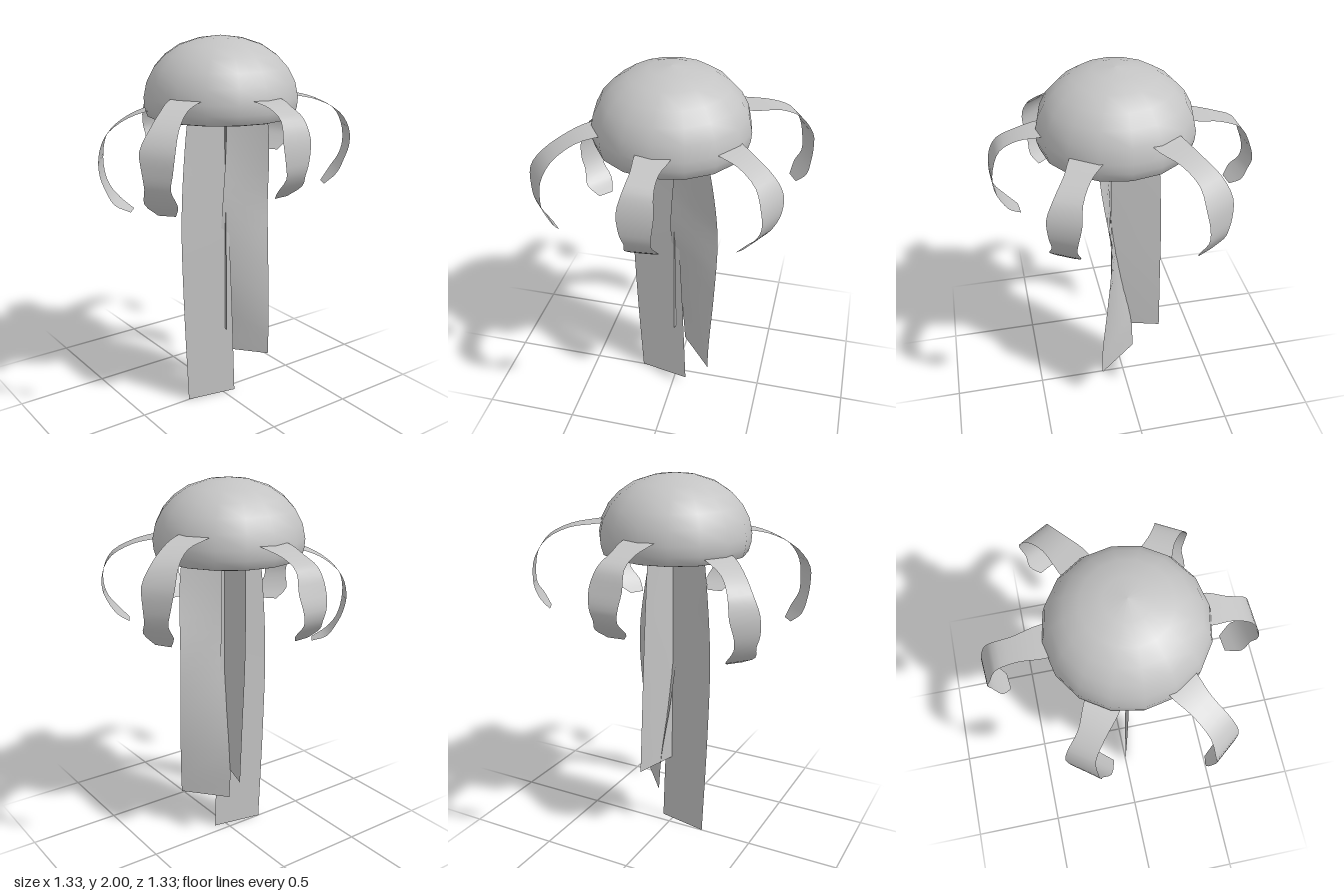
import * as THREE from 'three';

const skin = new THREE.MeshStandardMaterial({ color: 0xc4c4c4, side: THREE.DoubleSide });
skin.name = 'pale grey';

const vec = (p) => new THREE.Vector3(...p);

// Smooth ruled strip between two edge curves
function ribbon(name, edgeA, edgeB, steps) {
  const a = new THREE.CatmullRomCurve3(edgeA);
  const b = new THREE.CatmullRomCurve3(edgeB);
  const across = 2, pos = [], idx = [];
  for (let i = 0; i <= steps; i++) {
    const p = a.getPoint(i / steps), q = b.getPoint(i / steps);
    for (let j = 0; j <= across; j++) pos.push(...p.clone().lerp(q, j / across).toArray());
  }
  for (let i = 0; i < steps; i++) {
    for (let j = 0; j < across; j++) {
      const k = i * (across + 1) + j, n = k + across + 1;
      idx.push(k, n, k + 1, k + 1, n, n + 1);
    }
  }
  const geo = new THREE.BufferGeometry();
  geo.setAttribute('position', new THREE.Float32BufferAttribute(pos, 3));
  geo.setIndex(idx);
  geo.computeVertexNormals();
  const mesh = new THREE.Mesh(geo, skin);
  mesh.name = name;
  return mesh;
}

// Arm widths swell and pinch from root to tip
const ARM_WIDTHS = [0.17, 0.165, 0.13, 0.14, 0.17, 0.145, 0.125, 0.16, 0.085];

// The crosswise direction turns from rootAxis to tipAxis along the arm
function arm(name, rootAxis, tipAxis, path) {
  const edge = (s) => path.map((p, i) => {
    const side = vec(rootAxis).lerp(vec(tipAxis), i / (path.length - 1)).normalize();
    return vec(p).addScaledVector(side, s * ARM_WIDTHS[i] / 2);
  });
  return ribbon(name, edge(1), edge(-1), 24);
}

export function createModel() {
  const model = new THREE.Group();
  model.name = 'jellyfish';

  // Bell: dome with a shallow hollow and a rolled rim, inner wall first
  const profile = [
    [0, 1.79], [0.1, 1.782], [0.2, 1.755], [0.27, 1.715], [0.315, 1.665], [0.335, 1.625],
    [0.36, 1.6], [0.378, 1.605], [0.391, 1.65], [0.395, 1.7], [0.379, 1.775], [0.342, 1.845],
    [0.286, 1.905], [0.21, 1.955], [0.11, 1.987], [0, 2.0],
  ].map(([r, y]) => new THREE.Vector2(r, y));
  const bell = new THREE.Mesh(new THREE.LatheGeometry(profile, 16), skin);
  bell.name = 'bell';
  bell.position.set(0.033, 0, 0.016);
  model.add(bell);

  // Six curling arms around the bell
  model.add(
    arm('leftArm', [0, 0, -1], [-0.1, 0, -1], [
      [0.36, 1.722, 0.012], [0.43, 1.715, 0.012], [0.52, 1.695, 0.02], [0.61, 1.65, 0.025], [0.652, 1.56, 0.03],
      [0.66, 1.45, 0.03], [0.645, 1.39, 0.025], [0.6, 1.325, 0.02], [0.535, 1.27, 0.02]]),
    arm('rightArm', [0, 0, 1], [0.1, 0, 1], [
      [-0.3, 1.722, 0.015], [-0.38, 1.71, 0.015], [-0.49, 1.685, 0.015], [-0.595, 1.64, 0.012], [-0.638, 1.55, 0.008],
      [-0.663, 1.46, 0.008], [-0.65, 1.4, 0.01], [-0.61, 1.345, 0.012], [-0.565, 1.3, 0.015]]),
    arm('frontLeftArm', [0.82, 0, -0.57], [0.75, 0, -0.66], [
      [0.18, 1.725, 0.26], [0.22, 1.72, 0.35], [0.28, 1.69, 0.45], [0.35, 1.62, 0.55], [0.378, 1.53, 0.605],
      [0.385, 1.43, 0.612], [0.378, 1.36, 0.608], [0.36, 1.28, 0.58], [0.345, 1.22, 0.54]]),
    arm('frontRightArm', [0.86, 0, 0.5], [0.75, 0, 0.66], [
      [-0.13, 1.64, 0.31], [-0.16, 1.63, 0.36], [-0.22, 1.58, 0.45], [-0.28, 1.5, 0.515], [-0.29, 1.4, 0.545],
      [-0.268, 1.3, 0.552], [-0.248, 1.23, 0.535], [-0.212, 1.16, 0.5], [-0.155, 1.115, 0.445]]),
    arm('backLeftArm', [0.87, 0, 0.5], [0.87, 0, 0.5], [
      [0.195, 1.715, -0.25], [0.235, 1.705, -0.31], [0.29, 1.68, -0.4], [0.35, 1.62, -0.495], [0.377, 1.54, -0.535],
      [0.385, 1.45, -0.54], [0.38, 1.38, -0.518], [0.372, 1.31, -0.47], [0.362, 1.25, -0.405]]),
    arm('backRightArm', [0.87, 0, -0.5], [0.87, 0, -0.5], [
      [-0.13, 1.765, -0.28], [-0.16, 1.755, -0.35], [-0.22, 1.735, -0.46], [-0.28, 1.68, -0.555], [-0.31, 1.59, -0.612],
      [-0.318, 1.5, -0.627], [-0.31, 1.42, -0.627], [-0.288, 1.36, -0.605], [-0.27, 1.3, -0.57]]),
  );

  // Three long ribbons hanging from inside the bell
  const hang = (name, a, b) => model.add(ribbon(name, a.map(vec), b.map(vec), 20));
  hang('crossRibbon',
    [[-0.17, 1.8, -0.02], [-0.185, 1.5, -0.032], [-0.2, 1.1, -0.045], [-0.2, 0.75, -0.06], [-0.2, 0.4, -0.075]],
    [[0.06, 1.8, 0], [0.06, 1.5, 0], [0.062, 1.1, 0], [0.066, 0.75, 0], [0.068, 0.4, 0]]);
  hang('frontRibbon',
    [[0.005, 1.8, 0.17], [0, 1.45, 0.215], [0, 1.05, 0.242], [0, 0.6, 0.235], [0, 0, 0.21]],
    [[0.05, 1.8, -0.02], [0.05, 1.45, -0.02], [0.052, 1.05, -0.025], [0.054, 0.6, -0.045], [0.055, 0, -0.068]]);
  hang('backRibbon',
    [[0.175, 1.8, -0.15], [0.15, 1.45, -0.215], [0.11, 1.1, -0.245], [0.132, 0.75, -0.24], [0.163, 0.4, -0.225], [0.165, 0.23, -0.222]],
    [[0.06, 1.8, 0], [0.062, 1.45, 0], [0.056, 1.1, 0.02], [0.005, 0.75, 0.005], [-0.045, 0.45, -0.025], [-0.052, 0.23, -0.04]]);

  return model;
}
